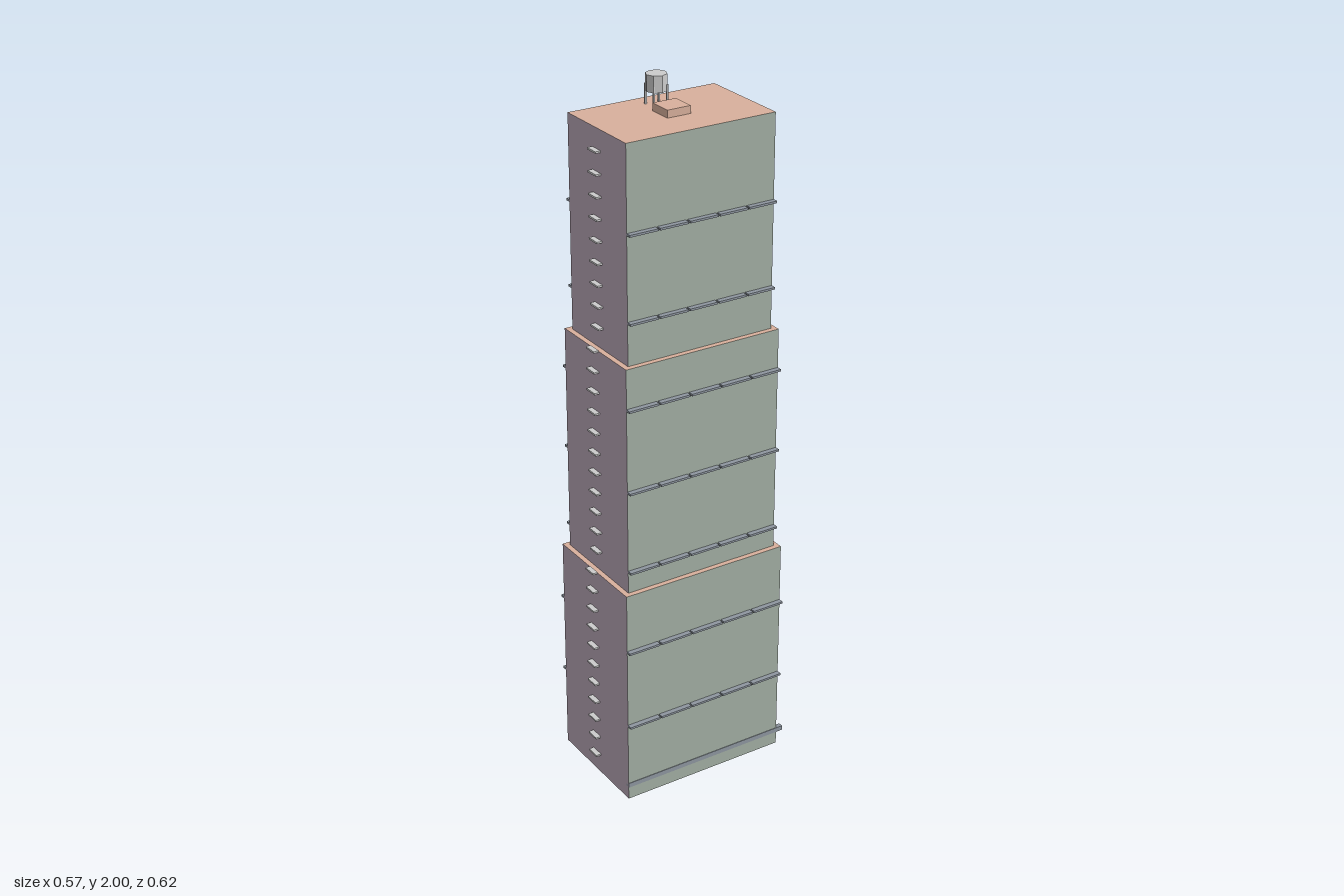
import * as THREE from 'three';

const paint = (color) => new THREE.MeshStandardMaterial({ color });

export function createModel() {
  const model = new THREE.Group();
  const tower = new THREE.Group();
  tower.name = 'tower';
  tower.rotation.y = -Math.PI / 6;
  model.add(tower);

  const roof = paint(0xd8b09c), ends = paint(0xb8a6b6), sides = paint(0xa2aea3);
  const base = paint(0xa59c8c), ledge = paint(0x8e96a0), grey = paint(0xcccccc);

  // box given by its centre in x and z and its bottom in y
  const box = (name, mat, w, h, d, x, y, z, parent = tower) => {
    const mesh = new THREE.Mesh(new THREE.BoxGeometry(w, h, d), mat);
    mesh.name = name;
    mesh.position.set(x, y + h / 2, z);
    parent.add(mesh);
    return mesh;
  };

  // three stepped tiers, each with segmented ledges along both long sides
  const tiers = [
    { y0: 0, y1: 0.66, a: 0.17, b: 0.252, ledges: [0.245, 0.485] },
    { y0: 0.66, y1: 1.32, a: 0.155, b: 0.237, ledges: [0.725, 0.965, 1.205] },
    { y0: 1.32, y1: 1.917, a: 0.14, b: 0.222, ledges: [1.44, 1.68] },
  ];
  const out = 0.015, gap = 0.005, count = 5;
  tiers.forEach(({ y0, y1, a, b, ledges }, i) => {
    box(`tier${i + 1}`, [sides, sides, roof, base, ends, ends], 2 * a, y1 - y0, 2 * b, 0, y0, 0);
    const pitch = (2 * b + gap) / count;
    for (const y of ledges)
      for (const s of [-1, 1])
        for (let k = 0; k < count; k++)
          box('ledge', ledge, out, 0.006, pitch - gap, s * (a + out / 2), y - 0.003, (k - 2) * pitch);
  });

  // column of small balconies up the front
  for (let k = 1; k <= 31; k++) {
    const y = k * 0.06;
    const tier = tiers.find((t) => y <= t.y1);
    box('balcony', grey, 0.04, 0.005, out, 0, y - 0.0025, tier.b + out / 2);
  }

  // rail low along the left side, ending past the back
  box('baseRail', ledge, 0.014, 0.014, 0.524, 0.1645, 0.038, -0.01);

  // roof hatch
  const top = 1.917;
  box('roofHatch', roof, 0.07, 0.021, 0.07, 0, top, 0);

  // water tank on four legs
  const tank = new THREE.Group();
  tank.name = 'waterTank';
  tank.position.set(-0.0725, 0, 0);
  tower.add(tank);
  const drumGeometry = new THREE.CylinderGeometry(0.029, 0.029, 0.045, 8);
  const drumMaterial = paint(0xcccccc);
  drumMaterial.flatShading = true;
  const drum = new THREE.Mesh(drumGeometry, drumMaterial);
  drum.name = 'tankDrum';
  drum.position.y = 2 - 0.0225;
  tank.add(drum);
  for (const x of [-1, 1])
    for (const z of [-1, 1])
      box('tankLeg', grey, 0.005, 0.055, 0.005, x * 0.02, top, z * 0.02, tank);

  return model;
}
